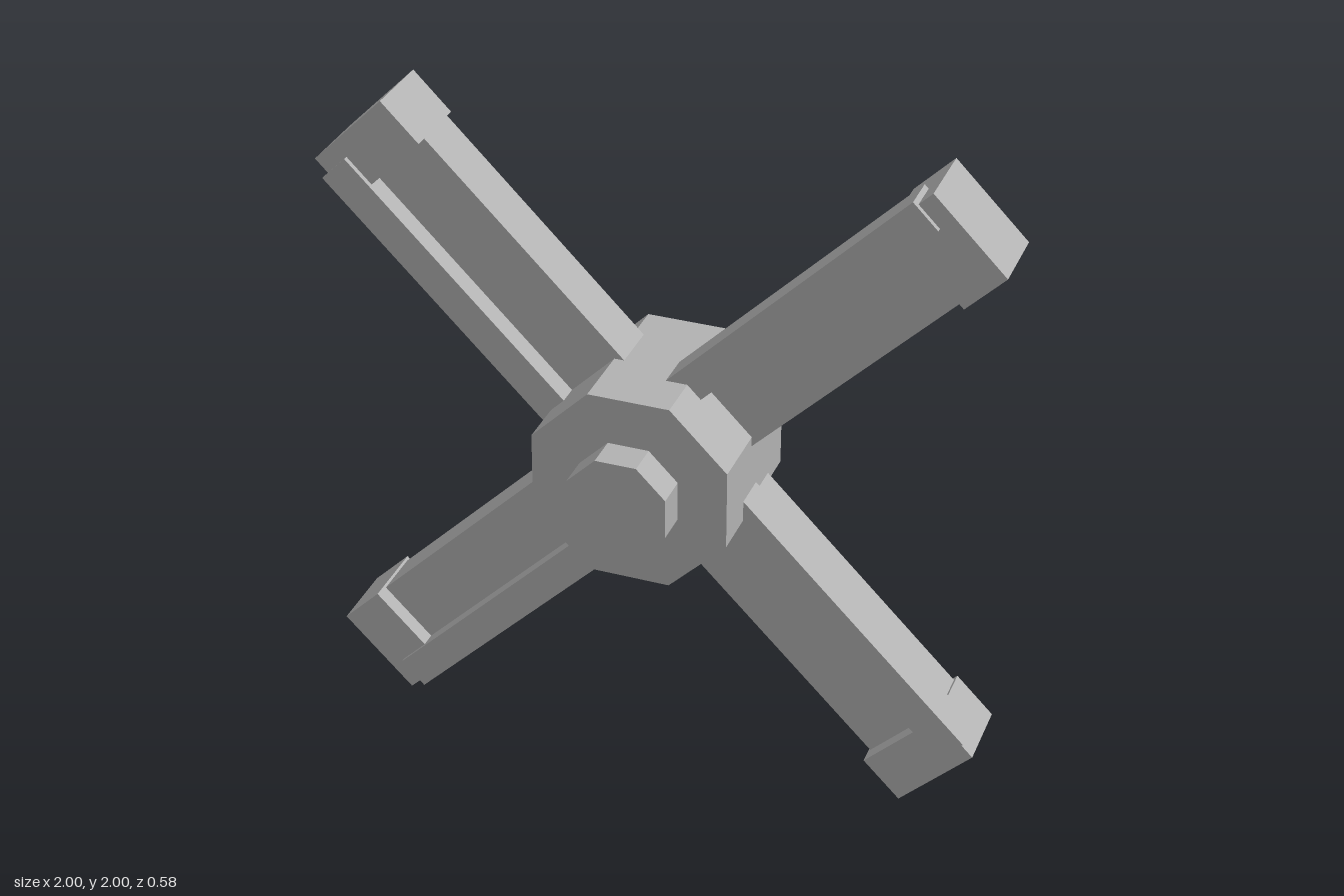
import * as THREE from 'three';

const grey = new THREE.MeshStandardMaterial({ color: 0xb2b2b2, flatShading: true });
grey.name = 'plain grey';

// Octagonal prism lying along z, given its half width across flats
function octagon(name, apothem, z0, z1) {
  const r = apothem / Math.cos(Math.PI / 8);
  const g = new THREE.CylinderGeometry(r, r, z1 - z0, 8);
  g.rotateY(Math.PI / 8).rotateX(Math.PI / 2).translate(0, 0, (z0 + z1) / 2);
  const m = new THREE.Mesh(g, grey);
  m.name = name;
  return m;
}

// Box given by its limits on each axis
function box(name, [x0, x1], [y0, y1], [z0, z1]) {
  const g = new THREE.BoxGeometry(x1 - x0, y1 - y0, z1 - z0);
  g.translate((x0 + x1) / 2, (y0 + y1) / 2, (z0 + z1) / 2);
  const m = new THREE.Mesh(g, grey);
  m.name = name;
  return m;
}

export function createModel() {
  const model = new THREE.Group();
  model.name = 'fourArmRotor';

  // Hub and its front cap
  const rotor = new THREE.Group();
  rotor.name = 'rotor';
  rotor.position.y = 1;
  rotor.add(octagon('hub', 0.292, -0.29, 0.19), octagon('hubCap', 0.147, 0.19, 0.29));

  // Four diagonal arms, each with an end block and an offset front rail
  for (let i = 0; i < 4; i++) {
    const arm = new THREE.Group();
    arm.name = 'arm' + (i + 1);
    arm.add(
      box('beam', [0.1, 1.15], [-0.142, 0.142], [-0.174, -0.018]),
      box('endBlock', [1.106, 1.264], [-0.15, 0.15], [-0.19, 0.03]),
      box('rail', [0.1, 1.21], [0.064, 0.166], [-0.065, 0.045])
    );
    arm.rotation.z = Math.PI / 4 + (i * Math.PI) / 2;
    rotor.add(arm);
  }

  model.add(rotor);
  return model;
}
